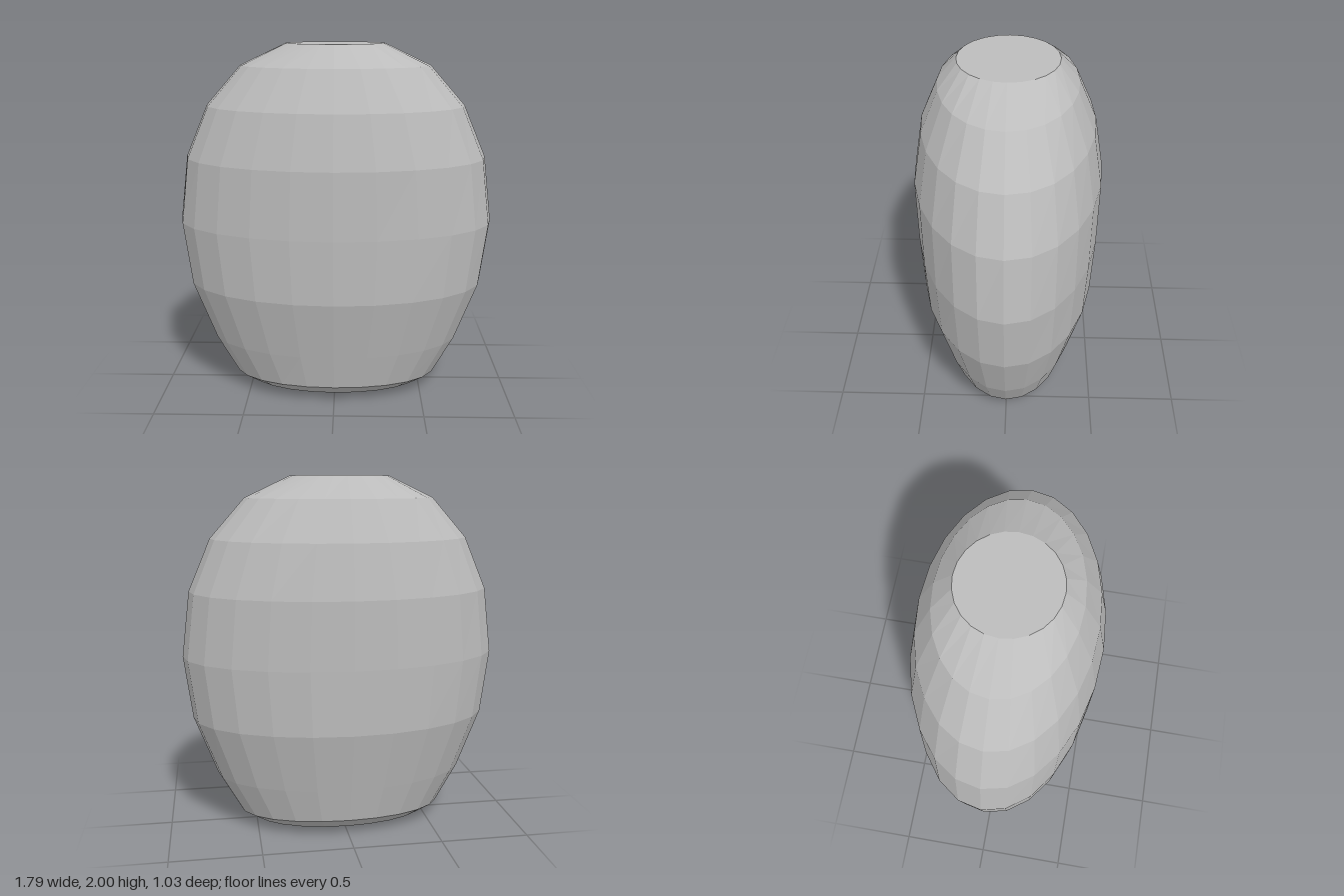
import * as THREE from 'three';

// Rings from bottom to top: [height at sides, height at front/back, half width, half depth]
const RINGS = [
  [0, 0, 0.43, 0.21],
  [0.03, 0.035, 0.51, 0.29],
  [0.08, 0.1, 0.595, 0.36],
  [0.3, 0.3, 0.72, 0.41],
  [0.64, 0.64, 0.85, 0.495],
  [1.0, 1.0, 0.897, 0.51],
  [1.37, 1.37, 0.85, 0.515],
  [1.66, 1.66, 0.725, 0.465],
  [1.88, 1.88, 0.53, 0.37],
  [2, 2, 0.275, 0.268],
];
const SIDES = 24;

// Faceted shell lofted through the elliptical rings, closed at both ends
function loft(rings, sides) {
  const pos = [];
  const index = [];
  for (const [ySide, yFront, rx, rz] of rings) {
    for (let i = 0; i < sides; i++) {
      const a = (i / sides) * Math.PI * 2;
      const s = Math.sin(a);
      pos.push(rx * Math.cos(a), ySide + (yFront - ySide) * s * s, rz * s);
    }
  }
  for (let r = 0; r < rings.length - 1; r++) {
    for (let i = 0; i < sides; i++) {
      const a = r * sides + i;
      const b = r * sides + ((i + 1) % sides);
      index.push(a, a + sides, b, b, a + sides, b + sides);
    }
  }
  // Flat caps
  const top = (rings.length - 1) * sides;
  for (let i = 1; i < sides - 1; i++) {
    index.push(0, i, i + 1);
    index.push(top, top + i + 1, top + i);
  }
  const geo = new THREE.BufferGeometry();
  geo.setAttribute('position', new THREE.Float32BufferAttribute(pos, 3));
  geo.setIndex(index);
  const flat = geo.toNonIndexed();
  flat.computeVertexNormals();
  return flat;
}

export function createModel() {
  const group = new THREE.Group();
  group.name = 'flattenedBarrel';
  const grey = new THREE.MeshStandardMaterial({ color: 0xbcbcbc });
  grey.name = 'plain grey';
  grey.flatShading = true;
  const body = new THREE.Mesh(loft(RINGS, SIDES), grey);
  body.name = 'body';
  group.add(body);
  return group;
}
